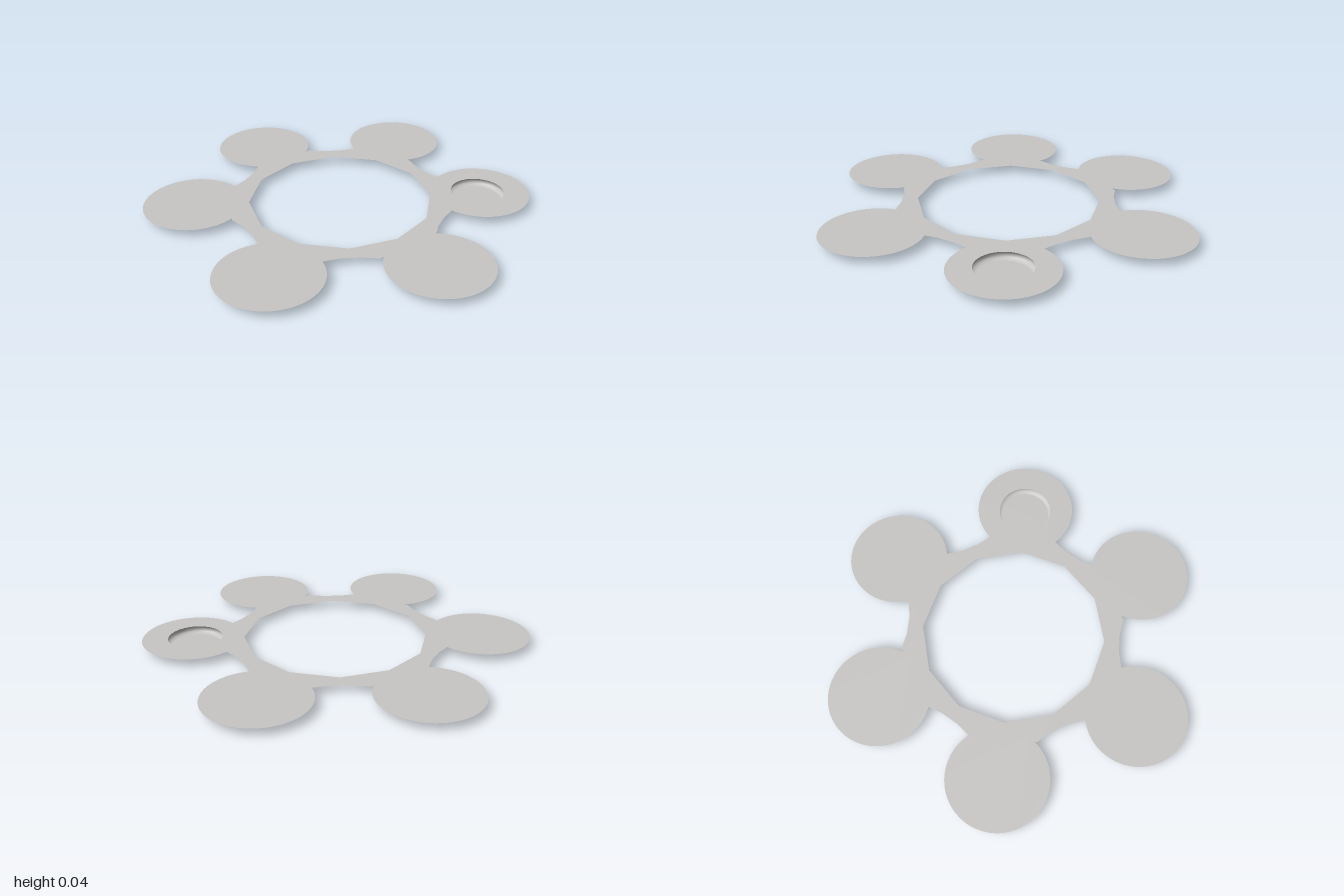
import * as THREE from 'three';

export function createModel() {
  const model = new THREE.Group();
  const grey = new THREE.MeshStandardMaterial({ color: 0xc8c6c4, side: THREE.DoubleSide });
  grey.name = 'light grey';

  const add = (name, geometry, x, y, z) => {
    const mesh = new THREE.Mesh(geometry, grey);
    mesh.name = name;
    mesh.position.set(x, y, z);
    model.add(mesh);
  };
  // turns an XY shape into a horizontal sheet facing up
  const sheet = (shape) => new THREE.ShapeGeometry(shape, 48).rotateX(-Math.PI / 2);
  const polar = (deg, r) => {
    const a = THREE.MathUtils.degToRad(deg);
    return new THREE.Vector2(Math.cos(a) * r, Math.sin(a) * r);
  };

  // connecting ring: waisted outer edge between the pads, twelve-sided opening
  const outer = [];
  for (let k = 0; k < 6; k++) {
    for (const [offset, r] of [[-13, 0.575], [-5, 0.547], [5, 0.547], [13, 0.575]]) {
      outer.push(polar(k * 60 + offset, r));
    }
  }
  const ring = new THREE.Shape(outer);
  const opening = Array.from({ length: 12 }, (_, i) => polar(i * 30, 0.468));
  ring.holes.push(new THREE.Path(opening));
  add('connectingRing', sheet(ring), 0, 0.038, 0);

  // six round pads, the back left one open for the cup
  const padRadius = 0.255;
  const cup = { x: 0.62, z: -0.36, r: 0.137 };
  const pads = [
    [0, -0.745], [0.63, -0.365], [0.655, 0.35],
    [0, 0.745], [-0.65, 0.365], [-0.655, -0.357],
  ];
  pads.forEach(([x, z], i) => {
    const shape = new THREE.Shape().absarc(0, 0, padRadius, 0, Math.PI * 2);
    if (i === 1) {
      shape.holes.push(new THREE.Path().absarc(cup.x - x, z - cup.z, cup.r, 0, Math.PI * 2, true));
    }
    add('pad' + (i + 1), sheet(shape), x, 0.04, z);
  });

  // shallow recessed cup with a bulging wall and flat floor
  const wall = [[0.128, 0], [0.139, 0.003], [0.147, 0.009], [0.151, 0.018], [0.148, 0.032], [cup.r, 0.04]];
  add('cupWall', new THREE.LatheGeometry(wall.map(([r, y]) => new THREE.Vector2(r, y)), 64), cup.x, 0, cup.z);
  add('cupFloor', new THREE.CircleGeometry(0.128, 64).rotateX(-Math.PI / 2), cup.x, 0, cup.z);

  return model;
}
